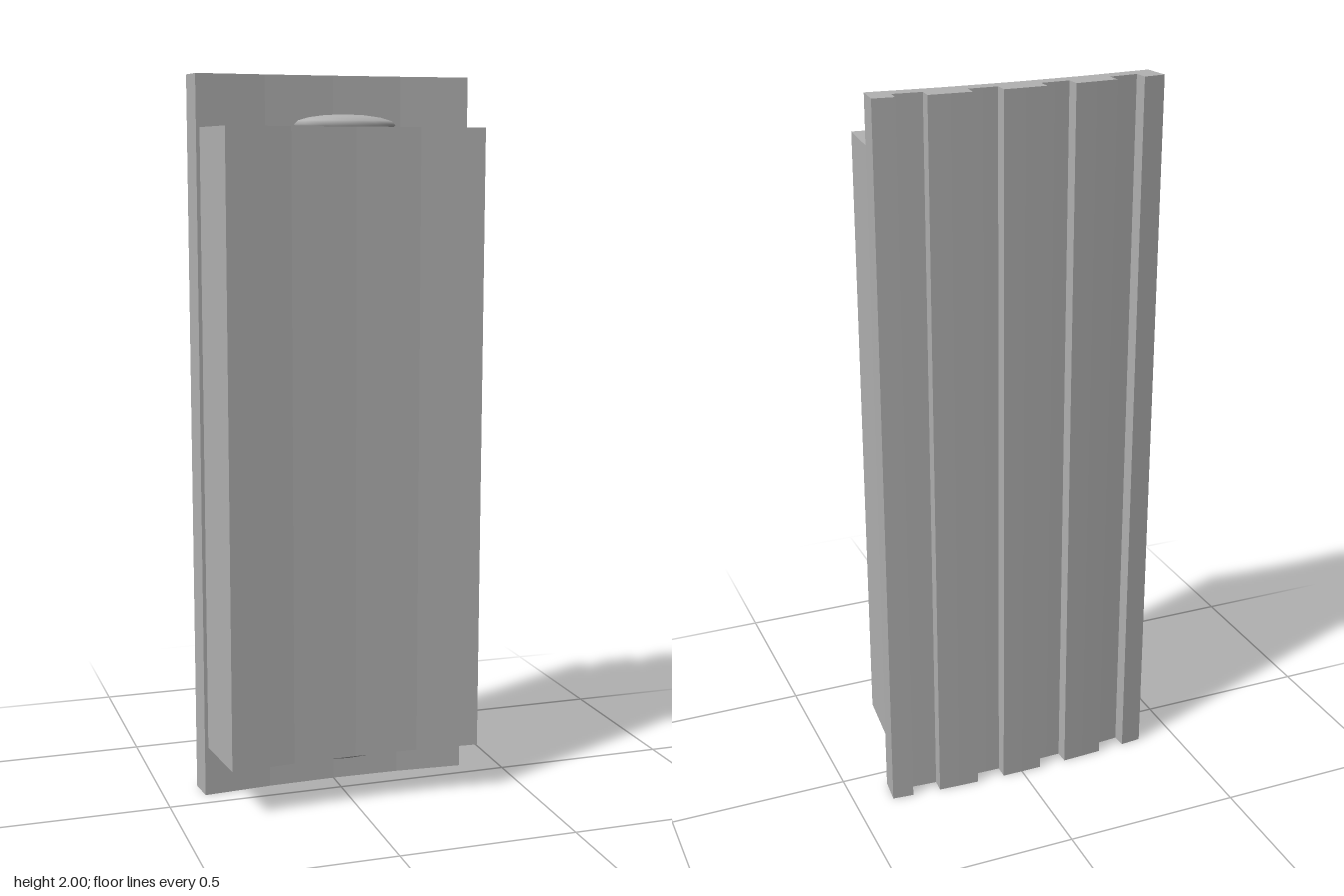
import * as THREE from 'three';

const CENTRE = 4.05; // z of the axis the panel curves around

// Point at a given radius and angle, in plan (second value is -z)
const polar = (r, a) => new THREE.Vector2(r * Math.sin(a), r * Math.cos(a) - CENTRE);

function arc(r, from, to, steps) {
  return Array.from({ length: steps + 1 }, (_, i) => polar(r, from + (to - from) * i / steps));
}

// Extrude a plan outline upwards between two heights
function prism(outline, bottom, top) {
  const geometry = new THREE.ExtrudeGeometry(new THREE.Shape(outline), { depth: top - bottom, bevelEnabled: false });
  return geometry.rotateX(-Math.PI / 2).translate(0, bottom, 0);
}

export function createModel() {
  const grey = new THREE.MeshStandardMaterial({ color: 0xb2b2b2 });
  grey.name = 'plain grey';
  const model = new THREE.Group();
  model.name = 'groovedPanel';

  const add = (name, geometry) => {
    const mesh = new THREE.Mesh(geometry, grey);
    mesh.name = name;
    model.add(mesh);
    return mesh;
  };

  // Back plate with ridges and grooves alternating along its rear face
  const plateEdge = 0.0936, plateFront = 4.124;
  const half = [0.0138, 0.0328, 0.0605, 0.0795, plateEdge];
  const angles = [...half.map(a => -a).reverse(), ...half];
  const rear = [];
  for (let i = 0; i < angles.length - 1; i++) {
    rear.push(...arc(i % 2 ? 4.163 : 4.202, angles[i], angles[i + 1], 2));
  }
  add('backPlate', prism([...rear, ...arc(plateFront, plateEdge, -plateEdge, 4)], 0, 2));

  // Thick front block
  const blockEdge = 0.0912;
  add('frontBlock', prism([
    ...arc(plateFront, -blockEdge, blockEdge, 4),
    ...arc(3.917, blockEdge, -blockEdge, 4),
  ], 0.14, 1.86));

  // Oval studs on the block's top and bottom
  for (const [name, y] of [['topStud', 1.867], ['bottomStud', 0.133]]) {
    const stud = add(name, new THREE.SphereGeometry(1, 12, 8));
    stud.scale.set(0.142, 0.027, 0.057);
    stud.position.set(0, y, 0.035);
  }

  return model;
}
